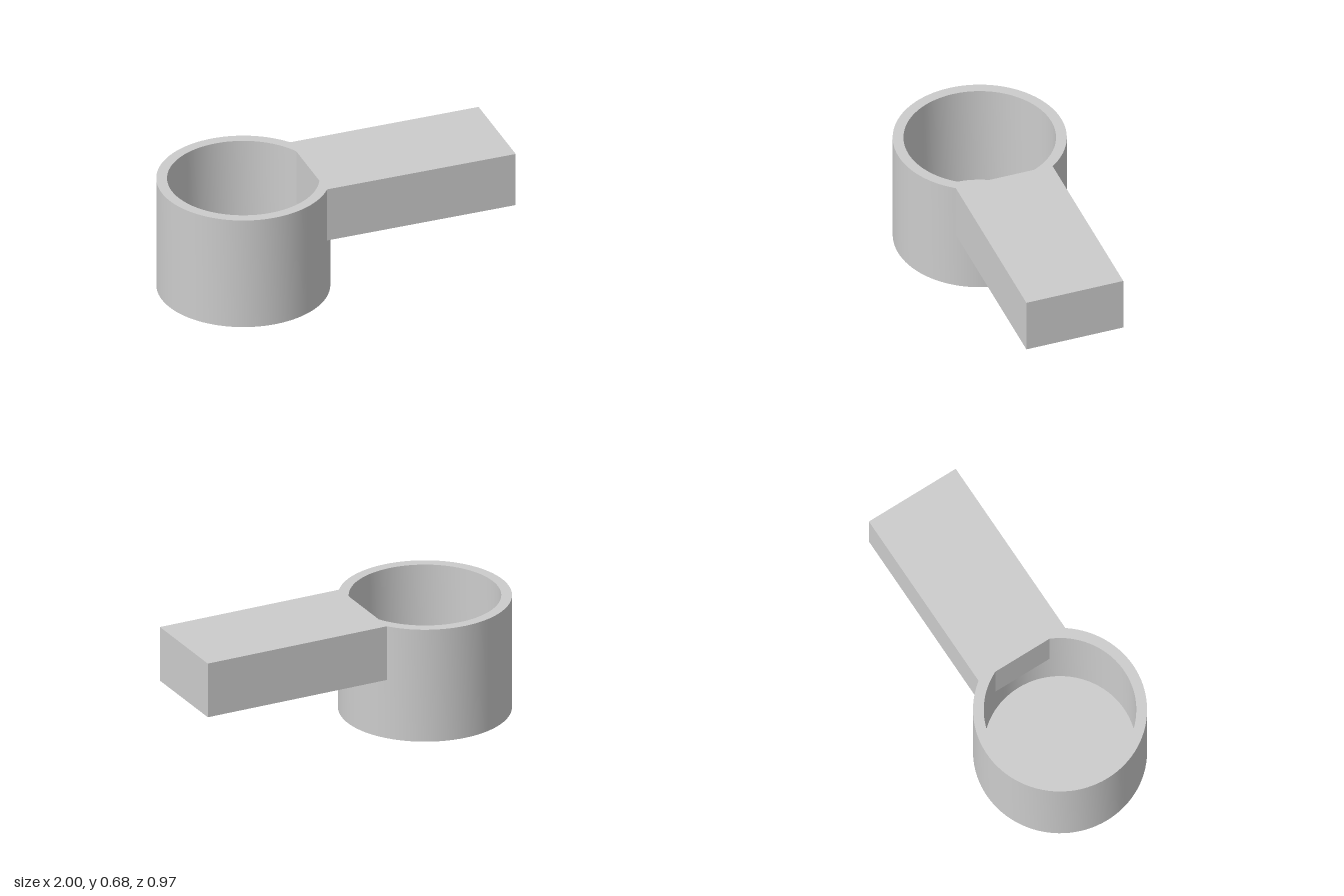
import * as THREE from 'three';
import { toCreasedNormals } from 'three/addons/utils/BufferGeometryUtils.js';

export function createModel() {
  const model = new THREE.Group();
  model.name = 'handledCup';

  const grey = new THREE.MeshStandardMaterial({ color: 0xcccccc });
  grey.name = 'light grey';

  const height = 0.68, outer = 0.485, inner = 0.425, floor = 0.06;

  // Round cup: closed bottom, straight wall, flat rim, open bore
  const profile = [
    [0, 0], [outer, 0], [outer, height], [inner, height], [inner, floor], [0, floor],
  ].map(([r, y]) => new THREE.Vector2(r, y));
  const cup = new THREE.Mesh(
    toCreasedNormals(new THREE.LatheGeometry(profile, 96), Math.PI / 6), grey);
  cup.name = 'cup';
  cup.position.x = -0.515;
  model.add(cup);

  // Straight bar handle, flush with the rim, its end forming a flat in the bore
  const start = -0.13, end = 1, bottom = 0.354;
  const handle = new THREE.Mesh(
    new THREE.BoxGeometry(end - start, height - bottom, 0.576), grey);
  handle.name = 'handle';
  handle.position.set((start + end) / 2, (height + bottom) / 2, 0);
  model.add(handle);

  return model;
}
